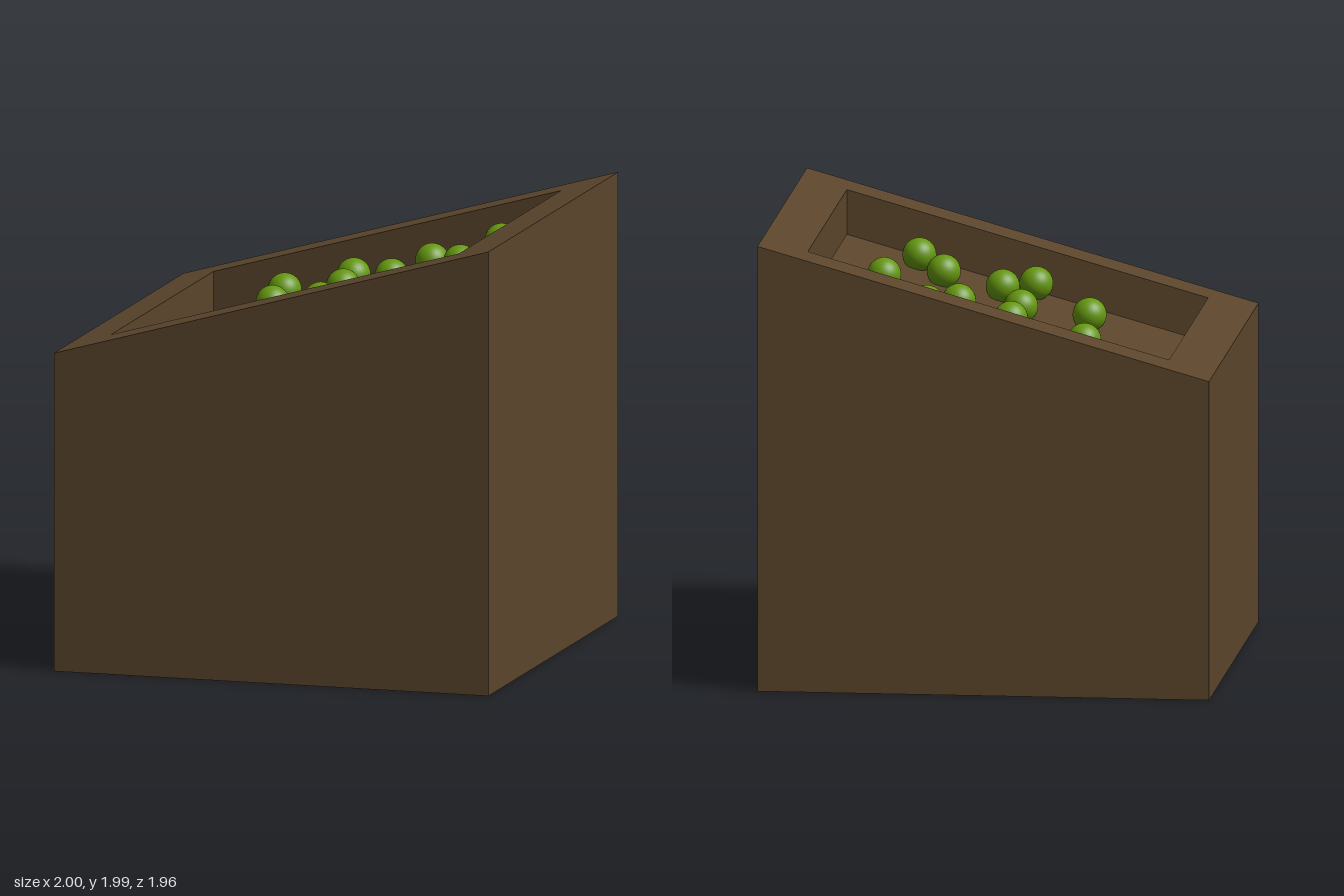
import * as THREE from 'three';

// Height of the sloping rim above a given x
const rimHeight = (x) => 1.7075 + 0.2825 * x;
const RECESS = 0.2;

// Stretch a unit-high geometry so that its top follows the slope
function slopeTop(geometry, drop) {
  const p = geometry.attributes.position;
  for (let i = 0; i < p.count; i++) {
    p.setY(i, p.getY(i) > 0.5 ? rimHeight(p.getX(i)) - drop : 0);
  }
  geometry.computeVertexNormals();
  return geometry;
}

function rectangle(path, hx, hy) {
  path.moveTo(-hx, -hy);
  path.lineTo(hx, -hy);
  path.lineTo(hx, hy);
  path.lineTo(-hx, hy);
  path.closePath();
  return path;
}

export function createModel() {
  const model = new THREE.Group();
  model.name = 'slopedPlanter';

  const soil = new THREE.MeshStandardMaterial({ color: 0x5c462c });
  soil.name = 'earth brown';
  const green = new THREE.MeshStandardMaterial({ color: 0x66980f });
  green.name = 'leaf green';

  // Outer walls with a rectangular opening
  const plan = rectangle(new THREE.Shape(), 1, 0.98);
  plan.holes.push(rectangle(new THREE.Path(), 0.8, 0.773));
  const wallGeometry = new THREE.ExtrudeGeometry(plan, { depth: 1, bevelEnabled: false });
  wallGeometry.rotateX(-Math.PI / 2);
  const walls = new THREE.Mesh(slopeTop(wallGeometry, 0), soil);
  walls.name = 'walls';
  model.add(walls);

  // Recessed bed, parallel to the rim
  const bedGeometry = new THREE.BoxGeometry(1.6, 1, 1.546).translate(0, 0.5, 0);
  const bed = new THREE.Mesh(slopeTop(bedGeometry, RECESS), soil);
  bed.name = 'bed';
  model.add(bed);

  // Green balls scattered over the bed, as [x, z]
  const spots = [
    [-0.425, -0.62], [-0.095, -0.58], [0.585, -0.58], [0.31, -0.435],
    [-0.365, -0.24], [-0.04, -0.24], [0.195, -0.2], [0.535, -0.12],
    [-0.05, 0.07], [-0.325, 0.325], [0.065, 0.375], [0.32, 0.32],
    [0.45, 0.515], [-0.053, 0.645],
  ];
  const ballGeometry = new THREE.SphereGeometry(0.075, 32, 20);
  const balls = new THREE.Group();
  balls.name = 'balls';
  spots.forEach(([x, z], i) => {
    const ball = new THREE.Mesh(ballGeometry, green);
    ball.name = `ball${i + 1}`;
    ball.position.set(x, rimHeight(x) - RECESS + 0.062, z);
    balls.add(ball);
  });
  model.add(balls);

  return model;
}
